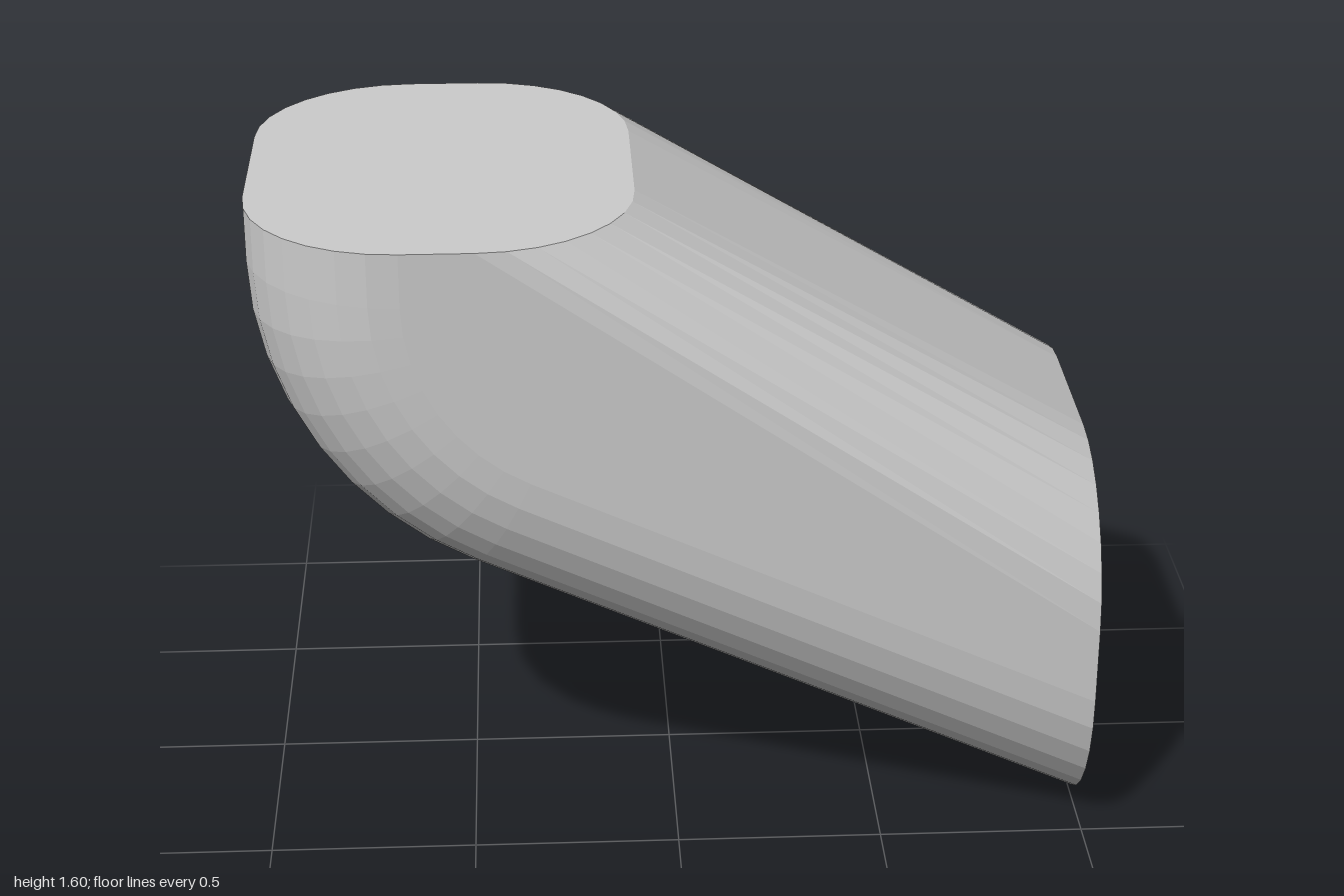
import * as THREE from 'three';

const CORNER = 0.37, FLAT = 0.2, CORNER_STEPS = 8; // rounded-rectangle section
const BEND = { x: -0.14, y: 1.47, r: 0.86, angle: Math.atan(0.46), steps: 8 };

// Half of the section: [depth below the rim, z], from -z to +z
function halfSection() {
  const side = [];
  for (let k = 0; k <= CORNER_STEPS; k++) {
    const a = (k / CORNER_STEPS) * Math.PI / 2;
    side.push([CORNER * (1 - Math.cos(a)), FLAT + CORNER * Math.sin(a)]);
  }
  return [...side.map(([d, z]) => [d, -z]).reverse(), ...side];
}

// Outer path (d = inward offset): straight top, round bend, sloped run to the vertical end
function outerStations() {
  const list = [d => [-1 + d, 1.6]];
  for (let k = 0; k <= BEND.steps; k++) {
    const t = (k / BEND.steps) * (Math.PI / 2 - BEND.angle);
    list.push(d => [BEND.x - (BEND.r - d) * Math.cos(t), BEND.y - (BEND.r - d) * Math.sin(t)]);
  }
  list.push(d => [1, d / Math.cos(BEND.angle)]);
  return list;
}

function elbowGeometry() {
  const half = halfSection();
  const stations = outerStations();
  const last = stations.length - 1;
  // The inner half pivots on the top rim and only moves at the final station
  const rings = stations.map((outer, j) => {
    const inner = d => (j < last ? [-0.09 - d, 1.6] : [1, 0.97 - d]);
    return [
      ...half.map(([d, z]) => new THREE.Vector3(...outer(d), z)),
      ...half.map(([d, z]) => new THREE.Vector3(...inner(d), -z)),
    ];
  });

  const points = [];
  const tri = (a, b, c) => {
    const area = new THREE.Triangle(a, b, c).getArea();
    if (area > 1e-7) for (const p of [a, b, c]) points.push(p);
  };
  const n = rings[0].length;
  // Walls
  for (let j = 0; j < last; j++) {
    for (let i = 0; i < n; i++) {
      const k = (i + 1) % n;
      tri(rings[j][i], rings[j + 1][i], rings[j][k]);
      tri(rings[j][k], rings[j + 1][i], rings[j + 1][k]);
    }
  }
  // Flat caps
  for (let i = 1; i < n - 1; i++) {
    tri(rings[0][0], rings[0][i], rings[0][i + 1]);
    tri(rings[last][0], rings[last][i + 1], rings[last][i]);
  }
  const geometry = new THREE.BufferGeometry().setFromPoints(points);
  geometry.computeVertexNormals();
  return geometry;
}

export function createModel() {
  const group = new THREE.Group();
  group.name = 'elbowBlock';
  const material = new THREE.MeshStandardMaterial({ color: 0xcccccc, flatShading: true });
  const elbow = new THREE.Mesh(elbowGeometry(), material);
  elbow.name = 'elbowBody';
  group.add(elbow);
  return group;
}
